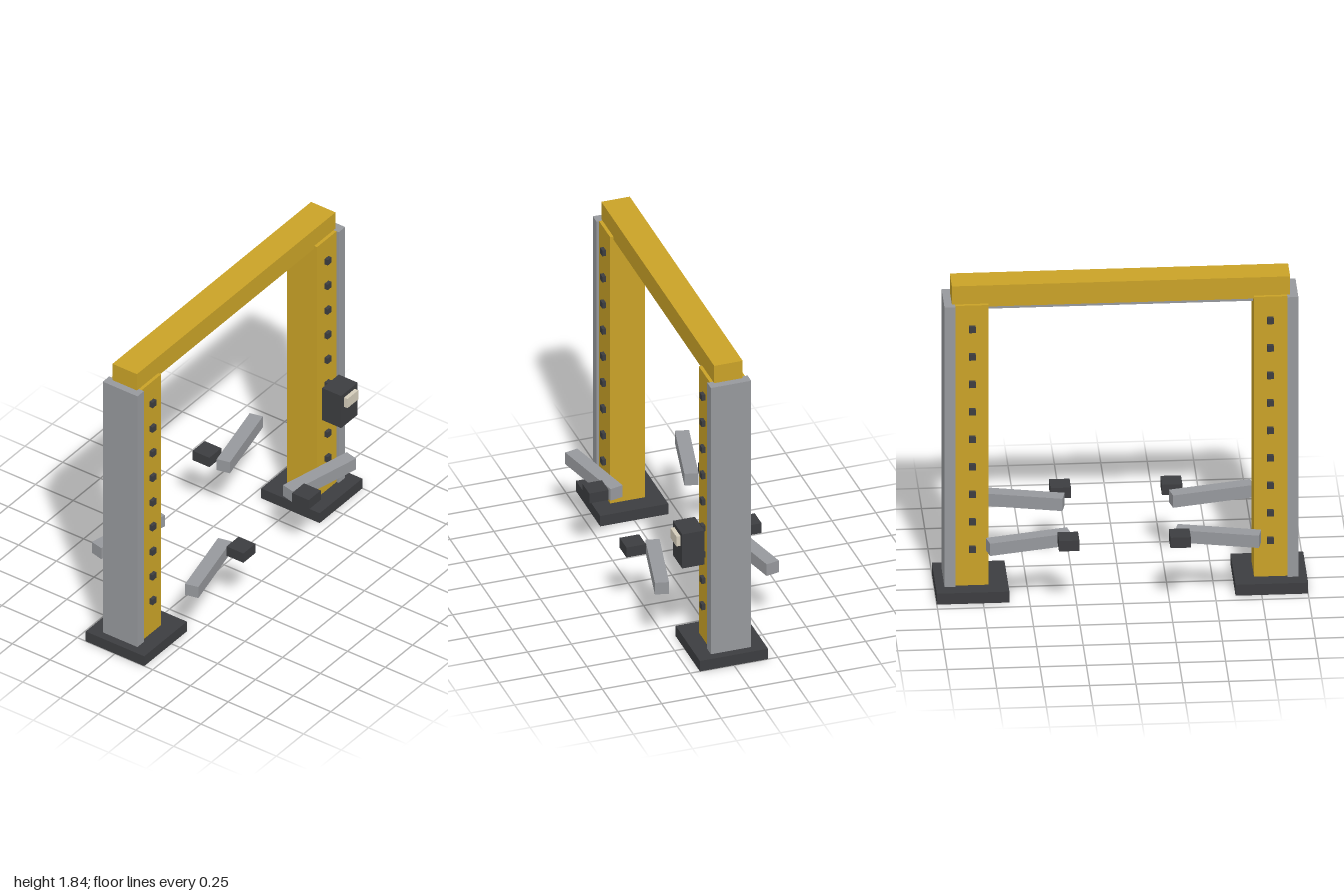
import * as THREE from 'three';

const paint = (color) => new THREE.MeshStandardMaterial({ color, flatShading: true });

export function createModel() {
  const lift = new THREE.Group();
  lift.name = 'twoPostLift';
  const yellow = paint(0xc9a227);
  const steel = paint(0x96989c);
  const dark = paint(0x3c3d40);
  const cream = paint(0xd4ccba);

  // Box given by its lower and upper limits on each axis
  function box(name, material, [x0, x1], [y0, y1], [z0, z1], parent = lift) {
    const mesh = new THREE.Mesh(new THREE.BoxGeometry(x1 - x0, y1 - y0, z1 - z0), material);
    mesh.position.set((x0 + x1) / 2, (y0 + y1) / 2, (z0 + z1) / 2);
    mesh.name = name;
    parent.add(mesh);
    return mesh;
  }
  // Orders a mirrored range
  const span = (s, a, b) => (s > 0 ? [a, b] : [-b, -a]);

  for (const sx of [-1, 1]) {
    const side = sx > 0 ? 'left' : 'right';
    const post = new THREE.Group();
    post.name = side + 'Post';
    lift.add(post);

    // Foot plate, column and outer backing channel
    box('basePlate', dark, span(sx, 0.609, 1), [0, 0.065], [-0.194, 0.194], post);
    box('column', yellow, span(sx, 0.715, 0.894), [0.065, 1.732], [-0.1, 0.1], post);
    box('outerChannel', steel, span(sx, 0.894, 0.953), [0.065, 1.732], [-0.115, 0.115], post);

    for (const sz of [-1, 1]) {
      const end = sz > 0 ? 'Front' : 'Back';

      // Row of safety lock blocks up the column face
      for (let i = 0; i < 9; i++) {
        const y = 0.284 + i * 0.1638;
        box('lockBlock', dark, span(sx, 0.785, 0.82), [y - 0.018, y + 0.018], span(sz, 0.09, 0.12), post);
      }

      // Swing arm, angled outward, with its lifting pad
      const arm = box(side + end + 'Arm', steel, [-0.2275, 0.2275], [0.357, 0.43], [-0.0385, 0.0385]);
      arm.position.x = sx * 0.511;
      arm.position.z = sz * 0.2645;
      arm.rotation.y = -0.226 * sx * sz;
      box(side + end + 'Pad', dark, span(sx, 0.245, 0.355), [0.387, 0.449], span(sz, 0.274, 0.385));
    }
  }

  // Overhead beam and the rail beneath it
  box('topBeam', yellow, [-0.911, 0.911], [1.714, 1.84], [-0.081, 0.081]);
  box('overheadRail', steel, [-0.72, 0.72], [1.678, 1.714], [-0.033, 0.033]);

  // Control cabinet with its display panel
  box('controlBox', dark, [0.726, 0.878], [0.587, 0.8], [0.126, 0.252]);
  box('displayPanel', cream, [0.752, 0.851], [0.714, 0.775], [0.245, 0.275]);

  return lift;
}
